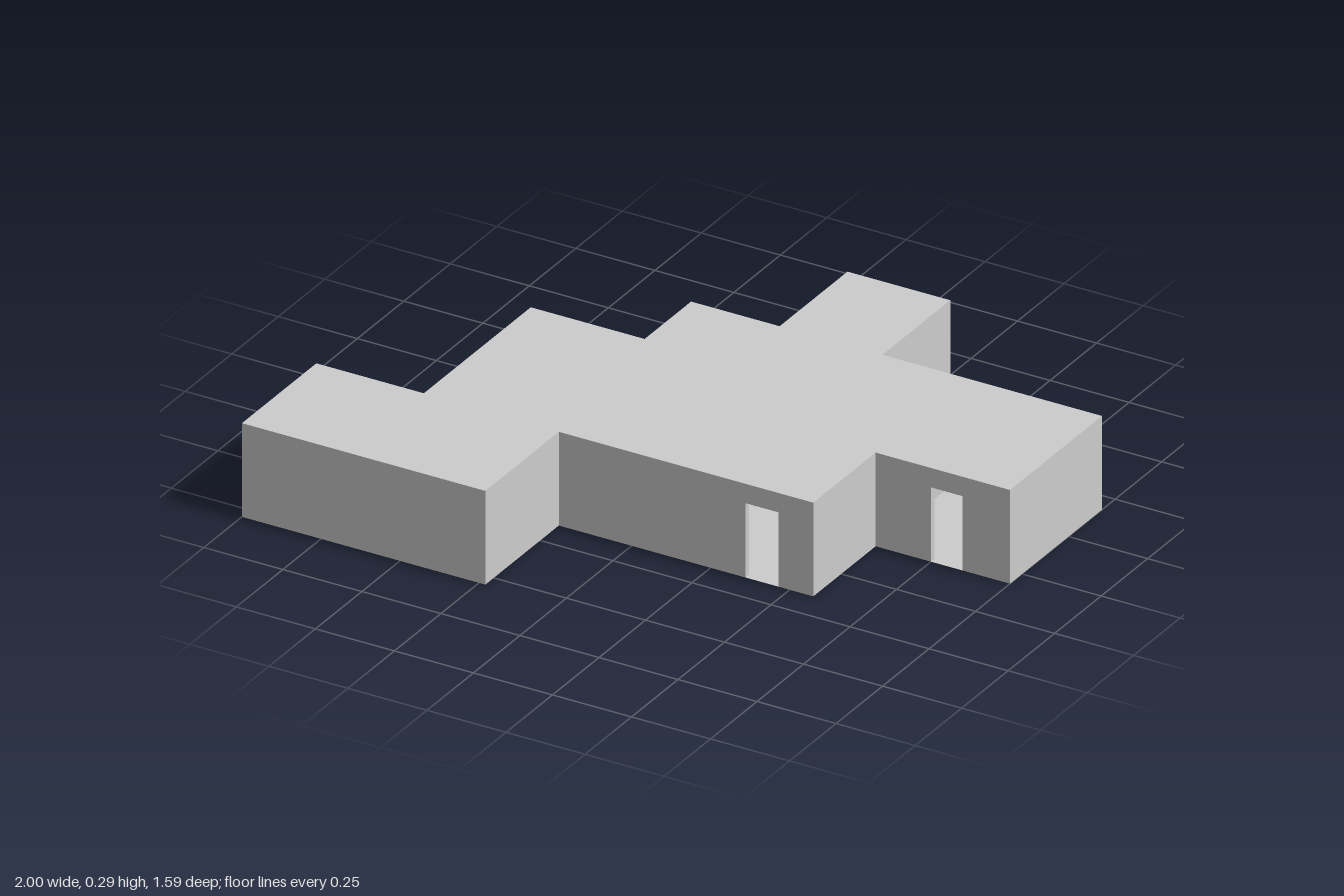
import * as THREE from 'three';

const HEIGHT = 0.29, THICK = 0.02, DOOR_HEIGHT = 0.23;

// Footprint corners [x, z], counter-clockwise seen from above
const FOOTPRINT = [
  [-1, 0.795], [-0.23, 0.795], [-0.23, 0.4], [0.575, 0.4],
  [0.575, 0.065], [1, 0.065], [1, -0.43], [0.305, -0.43],
  [0.305, -0.795], [-0.02, -0.795], [-0.02, -0.43], [-0.3, -0.43],
  [-0.3, -0.18], [-0.66, -0.18], [-0.66, 0.395], [-1, 0.395],
];

// Doorways by wall index: [start, end] measured along that wall
const DOORS = { 2: [0.59, 0.695], 4: [0.175, 0.275], 15: [0.035, 0.155] };

export function createModel() {
  const plaster = new THREE.MeshStandardMaterial({ color: 0xcccccc });
  plaster.name = 'grey plaster';
  const slab = new THREE.MeshStandardMaterial({ color: 0xcccccc, side: THREE.DoubleSide });
  slab.name = 'grey slab';

  const model = new THREE.Group();
  model.name = 'building';

  // Upright wall from a to b, its thickness lying behind the outer face
  function addWall(name, a, b, door) {
    const dx = b[0] - a[0], dz = b[1] - a[1];
    const length = Math.hypot(dx, dz);
    const shape = new THREE.Shape().moveTo(0, 0);
    if (door) {
      shape.lineTo(door[0], 0).lineTo(door[0], DOOR_HEIGHT)
        .lineTo(door[1], DOOR_HEIGHT).lineTo(door[1], 0);
    }
    shape.lineTo(length, 0).lineTo(length, HEIGHT).lineTo(0, HEIGHT).closePath();
    const geometry = new THREE.ExtrudeGeometry(shape, { depth: THICK, bevelEnabled: false });
    geometry.translate(0, 0, -THICK);
    const wall = new THREE.Mesh(geometry, plaster);
    wall.name = name;
    wall.position.set(a[0], 0, a[1]);
    wall.rotation.y = Math.atan2(-dz, dx);
    model.add(wall);
  }

  // Outer walls
  FOOTPRINT.forEach((corner, i) => {
    addWall(DOORS[i] ? 'doorWall' : 'outerWall', corner, FOOTPRINT[(i + 1) % FOOTPRINT.length], DOORS[i]);
  });

  // Partitions closing off the side rooms
  addWall('eastPartition', [0.575, 0.06], [0.575, -0.42]);
  addWall('westPartition', [-0.65, 0.4], [-0.24, 0.4]);
  addWall('northPartition', [-0.01, -0.42], [0.295, -0.42]);

  // Floor and flat roof share the footprint
  const plan = new THREE.Shape(FOOTPRINT.map(([x, z]) => new THREE.Vector2(x, -z)));
  for (const [name, y] of [['floor', 0], ['roof', HEIGHT]]) {
    const geometry = new THREE.ShapeGeometry(plan);
    geometry.rotateX(-Math.PI / 2);
    const mesh = new THREE.Mesh(geometry, slab);
    mesh.name = name;
    mesh.position.y = y;
    model.add(mesh);
  }
  return model;
}
